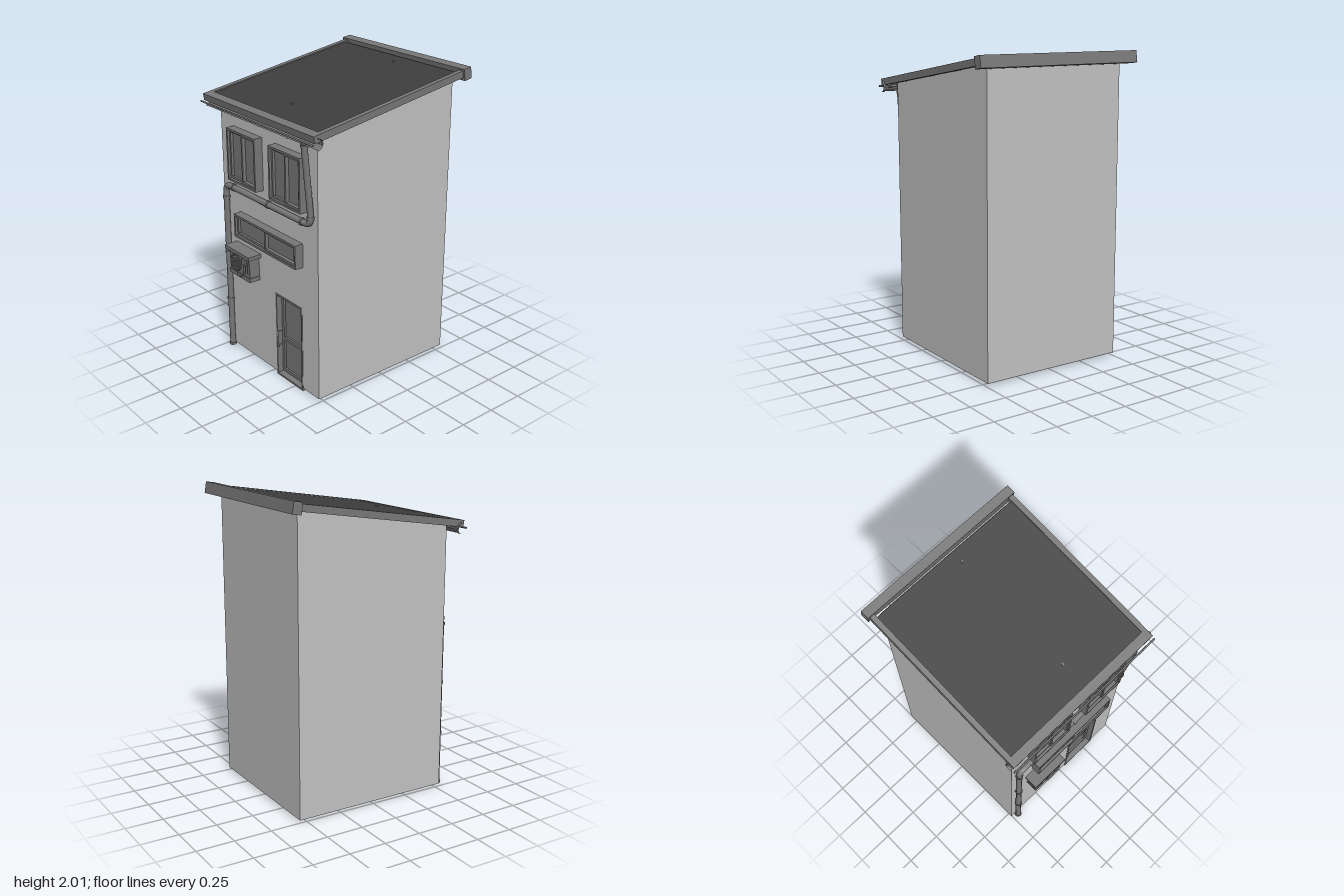
import * as THREE from 'three';

const mat = (name, color, side = THREE.FrontSide) => {
  const m = new THREE.MeshStandardMaterial({ color, side });
  m.name = name;
  return m;
};

export function createModel() {
  const wall = mat('pale plaster', 0xc2c2c2, THREE.DoubleSide);
  const trim = mat('grey metal', 0x787878, THREE.DoubleSide);
  const dark = mat('dark roofing', 0x3e3e3e);
  const model = new THREE.Group();
  model.name = 'house';

  const group = (name, x = 0, y = 0, z = 0, parent = model) => {
    const g = new THREE.Group();
    g.name = name;
    g.position.set(x, y, z);
    parent.add(g);
    return g;
  };
  const add = (parent, name, geo, m, x = 0, y = 0, z = 0) => {
    const mesh = new THREE.Mesh(geo, m);
    mesh.name = name;
    mesh.position.set(x, y, z);
    parent.add(mesh);
    return mesh;
  };
  const box = (parent, name, m, w, h, d, x, y, z) =>
    add(parent, name, new THREE.BoxGeometry(w, h, d), m, x, y, z);
  const poly = (pts) => new THREE.ShapeGeometry(new THREE.Shape(pts.map((p) => new THREE.Vector2(...p))));

  // Walls, open underneath, with a doorway notch in the front
  const L = -0.505, R = 0.495, F = 0.53, B = -0.55, Y0 = 0.012, YF = 1.775, YB = 1.944;
  const D0 = 0.05, D1 = 0.33, DT = 0.59;
  const walls = group('walls');
  add(walls, 'frontWall', poly([[L, Y0], [D0, Y0], [D0, DT], [D1, DT], [D1, Y0], [R, Y0], [R, YF], [L, YF]]), wall, 0, 0, F);
  const back = add(walls, 'backWall', poly([[-R, Y0], [-L, Y0], [-L, YB], [-R, YB]]), wall, 0, 0, B);
  back.rotation.y = Math.PI;
  for (const [name, x, s] of [['leftWall', R, 1], ['rightWall', L, -1]]) {
    const side = add(walls, name, poly([[-s * F, Y0], [-s * B, Y0], [-s * B, YB], [-s * F, YF]]), wall, x);
    side.rotation.y = s * Math.PI / 2;
  }

  // A frame of four bars around an opening, built in the xy plane
  const frame = (parent, name, x0, x1, y0, y1, bar, depth, z) => {
    const g = group(name, 0, 0, 0, parent);
    const w = x1 - x0, h = y1 - y0, cx = (x0 + x1) / 2, cy = (y0 + y1) / 2;
    for (const s of [-1, 1]) {
      box(g, 'upright', trim, bar, h, depth, cx + s * (w - bar) / 2, cy, z);
      box(g, 'rail', trim, w - 2 * bar, bar, depth, cx, cy + s * (h - bar) / 2, z);
    }
    return g;
  };

  // Recessed door with two panels and a pull handle
  const door = group('door');
  frame(door, 'doorFrame', D0, D1, Y0 - 0.02, DT + 0.005, 0.012, 0.056, 0.505);
  box(door, 'doorPanel', trim, D1 - D0, DT - Y0, 0.008, 0.19, (DT + Y0) / 2, 0.478);
  frame(door, 'upperLeaf', 0.065, 0.315, 0.25, 0.578, 0.022, 0.014, 0.488);
  frame(door, 'lowerLeaf', 0.065, 0.315, Y0, 0.272, 0.022, 0.014, 0.488);
  add(door, 'handle', new THREE.CylinderGeometry(0.007, 0.007, 0.12, 10), trim, 0.063, 0.26, 0.53);
  for (const y of [0.21, 0.31]) box(door, 'handlePost', trim, 0.008, 0.008, 0.04, 0.063, y, 0.51);

  // Projecting two-pane windows
  const windowBox = (name, x0, x1, y0, y1) => {
    const g = group(name), mid = (x0 + x1) / 2;
    frame(g, 'outerFrame', x0, x1, y0, y1, 0.014, 0.06, 0.559);
    box(g, 'panes', trim, x1 - x0 - 0.02, y1 - y0 - 0.02, 0.008, mid, (y0 + y1) / 2, 0.552);
    frame(g, 'backSash', x0 + 0.014, mid + 0.005, y0 + 0.014, y1 - 0.014, 0.013, 0.02, 0.563);
    frame(g, 'frontSash', mid - 0.005, x1 - 0.014, y0 + 0.014, y1 - 0.014, 0.013, 0.026, 0.567);
  };
  windowBox('upperRightWindow', -0.365, -0.055, 1.27, 1.62);
  windowBox('upperLeftWindow', 0.085, 0.4, 1.27, 1.62);
  windowBox('wideWindow', -0.315, 0.345, 0.885, 1.045);

  // Sloping roof: dark sheet framed by rails, with a cap on the high edge
  const roof = group('roof', 0, 1.871, 0.025);
  roof.rotation.x = 0.1555;
  box(roof, 'roofSheet', dark, 1.09, 0.03, 1.14, 0, 0, 0);
  for (const s of [-1, 1]) box(roof, 'sideRail', trim, 0.034, 0.045, 1.19, s * 0.555, 0, 0);
  box(roof, 'eaveRail', trim, 1.08, 0.045, 0.06, 0, 0, 0.565);
  box(roof, 'ridgeCap', trim, 1.17, 0.075, 0.06, 0, -0.004, -0.623);
  for (const z of [-0.487, 0.355]) box(roof, 'roofScrew', trim, 0.012, 0.008, 0.018, 0.056, 0.018, z);

  // Half-round gutter with brackets
  const gutter = group('gutter', 0, 1.752, 0.594);
  const halfPipe = (r, len) => new THREE.CylinderGeometry(r, r, len, 16, 1, true, -Math.PI / 2, Math.PI).rotateZ(Math.PI / 2);
  add(gutter, 'trough', halfPipe(0.033, 1.165), trim).rotation.x = 0;
  gutter.children[0].geometry.computeBoundingBox();
  // Turn the trough so that its open side faces up
  const openUp = gutter.children[0].geometry.boundingBox.max.y < 0.01 ? 0 : Math.PI;
  gutter.children[0].rotation.x = openUp;
  for (const s of [-1, 1]) {
    const lip = add(gutter, 'rolledLip', new THREE.CylinderGeometry(0.006, 0.006, 1.165, 8), trim, 0, 0, s * 0.033);
    lip.rotation.z = Math.PI / 2;
  }
  for (const x of [-0.575, -0.29, 0, 0.29, 0.575])
    add(gutter, 'gutterBracket', halfPipe(0.037, 0.014), trim, x).rotation.x = openUp;

  // Downpipe with rounded elbows
  const V = (x, y, z) => new THREE.Vector3(x, y, z);
  const corners = [V(0.447, 1.725, 0.59), V(0.447, 1.28, 0.548), V(0.447, 1.203, 0.548),
    V(-0.455, 1.203, 0.548), V(-0.455, 0.005, 0.548)];
  const path = new THREE.CurvePath();
  let from = corners[0];
  for (let i = 1; i < corners.length; i++) {
    const c = corners[i], next = corners[i + 1];
    if (!next) { path.add(new THREE.LineCurve3(from, c)); break; }
    const r = i === 1 ? 0.02 : 0.05;
    const a = c.clone().add(corners[i - 1].clone().sub(c).setLength(r));
    const b = c.clone().add(next.clone().sub(c).setLength(r));
    path.add(new THREE.LineCurve3(from, a));
    path.add(new THREE.QuadraticBezierCurve3(a, c, b));
    from = b;
  }
  const pipe = group('downpipe');
  add(pipe, 'pipe', new THREE.TubeGeometry(path, 180, 0.02, 12), trim);
  const ring = (x, y, z, sideways) => {
    const m = add(pipe, 'pipeCollar', new THREE.CylinderGeometry(0.025, 0.025, 0.016, 14), trim, x, y, z);
    if (sideways) m.rotation.z = Math.PI / 2;
  };
  for (const x of [-0.365, 0.02, 0.365]) ring(x, 1.203, 0.548, true);
  for (const y of [0.008, 0.36, 0.715, 1.115]) ring(-0.455, y, 0.548);
  ring(0.447, 1.255, 0.548);
  ring(0.447, 1.708, 0.588);

  // Air conditioner under a small hood
  const ac = group('airConditioner', -0.24, 0.715, 0.53);
  const body = new THREE.BoxGeometry(0.225, 0.17, 0.08);
  const p = body.attributes.position;
  for (let i = 0; i < p.count; i++) if (p.getY(i) < 0 && p.getZ(i) > 0) p.setZ(i, 0.032);
  body.computeVertexNormals();
  add(ac, 'casing', body, trim, 0, -0.008, 0.04);
  box(ac, 'hood', trim, 0.275, 0.025, 0.1, 0, 0.086, 0.048);
  box(ac, 'baseTray', trim, 0.235, 0.028, 0.082, 0, -0.08, 0.04);
  for (const r of [0.057, 0.04, 0.022])
    add(ac, 'fanRing', new THREE.TorusGeometry(r, 0.004, 6, 28), trim, -0.04, 0, 0.082);
  add(ac, 'fanWell', new THREE.CircleGeometry(0.054, 28), dark, -0.04, 0, 0.0805);
  for (let i = -4; i <= 4; i++) {
    const y = i * 0.0115;
    box(ac, 'fanSlat', trim, 2 * Math.sqrt(0.055 ** 2 - y * y), 0.007, 0.005, -0.04, y, 0.083);
  }
  box(ac, 'valveBox', trim, 0.045, 0.04, 0.018, 0.068, 0.04, 0.086);
  const hose = new THREE.CatmullRomCurve3([V(0.07, 0.03, 0.09), V(0.075, -0.03, 0.094),
    V(0.045, -0.055, 0.09), V(0.025, -0.072, 0.086), V(-0.02, -0.075, 0.08)]);
  add(ac, 'hose', new THREE.TubeGeometry(hose, 24, 0.007, 8), trim);
  box(ac, 'sideGrip', trim, 0.008, 0.08, 0.012, 0.102, 0.01, 0.082);

  return model;
}
